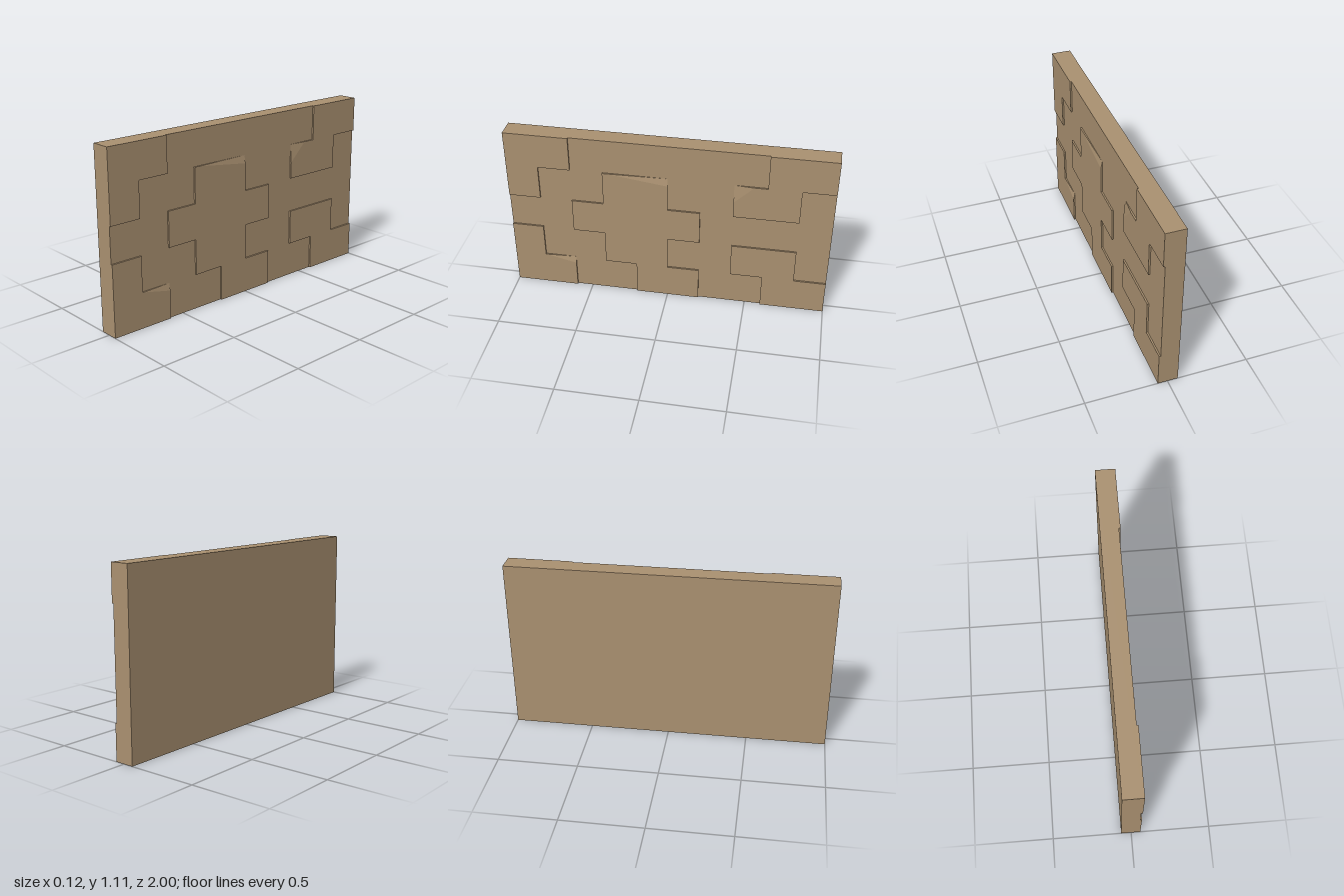
import * as THREE from 'three';

const COLS = 10, ROWS = 5, HEIGHT = 1.11;
const BACK = -0.064, RECESS = 0.049, RAISED = 0.059;

// Grid corner (column, row) to panel coordinates; columns run from the +z end to the -z end
const gx = (u) => -1 + (2 * u) / COLS;
const gy = (v) => (HEIGHT * v) / ROWS;

export function createModel() {
  const stone = new THREE.MeshStandardMaterial({ color: 0xaa9171 });
  stone.name = 'tan stone';
  const model = new THREE.Group();
  model.name = 'wallPanel';

  // The panel is drawn in XY and turned so that its relief faces +x
  const panel = new THREE.Group();
  panel.name = 'panel';
  panel.rotation.y = Math.PI / 2;
  model.add(panel);

  function add(name, geometry) {
    const mesh = new THREE.Mesh(geometry, stone);
    mesh.name = name;
    panel.add(mesh);
    return mesh;
  }

  // Base slab
  const slab = add('slab', new THREE.BoxGeometry(2, HEIGHT, RECESS - BACK));
  slab.position.set(0, HEIGHT / 2, (BACK + RECESS) / 2);

  // Raised stepped block, outlined counter-clockwise on the grid
  function raisedBlock(name, corners) {
    const shape = new THREE.Shape(corners.map(([u, v]) => new THREE.Vector2(gx(u), gy(v))));
    const geometry = new THREE.ExtrudeGeometry(shape, { depth: RAISED - RECESS, bevelEnabled: false });
    add(name, geometry).position.z = RECESS;
  }

  // Worn corner: slopes from the raised face at p and n down to the slab at c
  function wornCorner(name, p, c, n) {
    const at = ([u, v], z) => new THREE.Vector3(gx(u), gy(v), z);
    const P = at(p, RAISED), N = at(n, RAISED);
    const P0 = at(p, RECESS), N0 = at(n, RECESS), C0 = at(c, RECESS);
    const geometry = new THREE.BufferGeometry().setFromPoints([P, C0, N, P, P0, C0, C0, N0, N]);
    geometry.computeVertexNormals();
    add(name, geometry);
  }

  // Blocks at the +z end
  raisedBlock('upperFrontBlock', [[0, 3], [1, 3], [1, 4], [2, 4], [2, 5], [0, 5]]);
  raisedBlock('lowerFrontBlock', [[0, 0], [2, 0], [2, 0.8], [1.02, 1], [1, 1], [1, 2], [0, 2]]);
  wornCorner('lowerFrontWornCorner', [2, 0.8], [2, 1], [1.02, 1]);

  // Central cross with its foot
  raisedBlock('centreBlock', [
    [4, 0], [6, 0], [6, 1], [5, 1], [5, 2], [6, 2], [6, 3], [5, 3], [5, 3.78], [3.15, 4],
    [3, 4], [3, 3], [2, 3], [2, 2], [3, 2], [3, 1], [4, 1],
  ]);
  wornCorner('centreWornCorner', [5, 3.78], [5, 4], [3.15, 4]);

  // Blocks at the -z end
  raisedBlock('upperBackBlock', [
    [7, 3], [9, 3], [9, 4], [10, 4], [10, 5], [8, 5], [8, 4], [7.6, 4], [7, 3.47],
  ]);
  wornCorner('upperBackWornCorner', [7.6, 4], [7, 4], [7, 3.47]);
  raisedBlock('lowerBackBlock', [[8, 0], [10, 0], [10, 1], [9, 1], [9, 2], [7, 2], [7, 1], [8, 1]]);

  return model;
}
